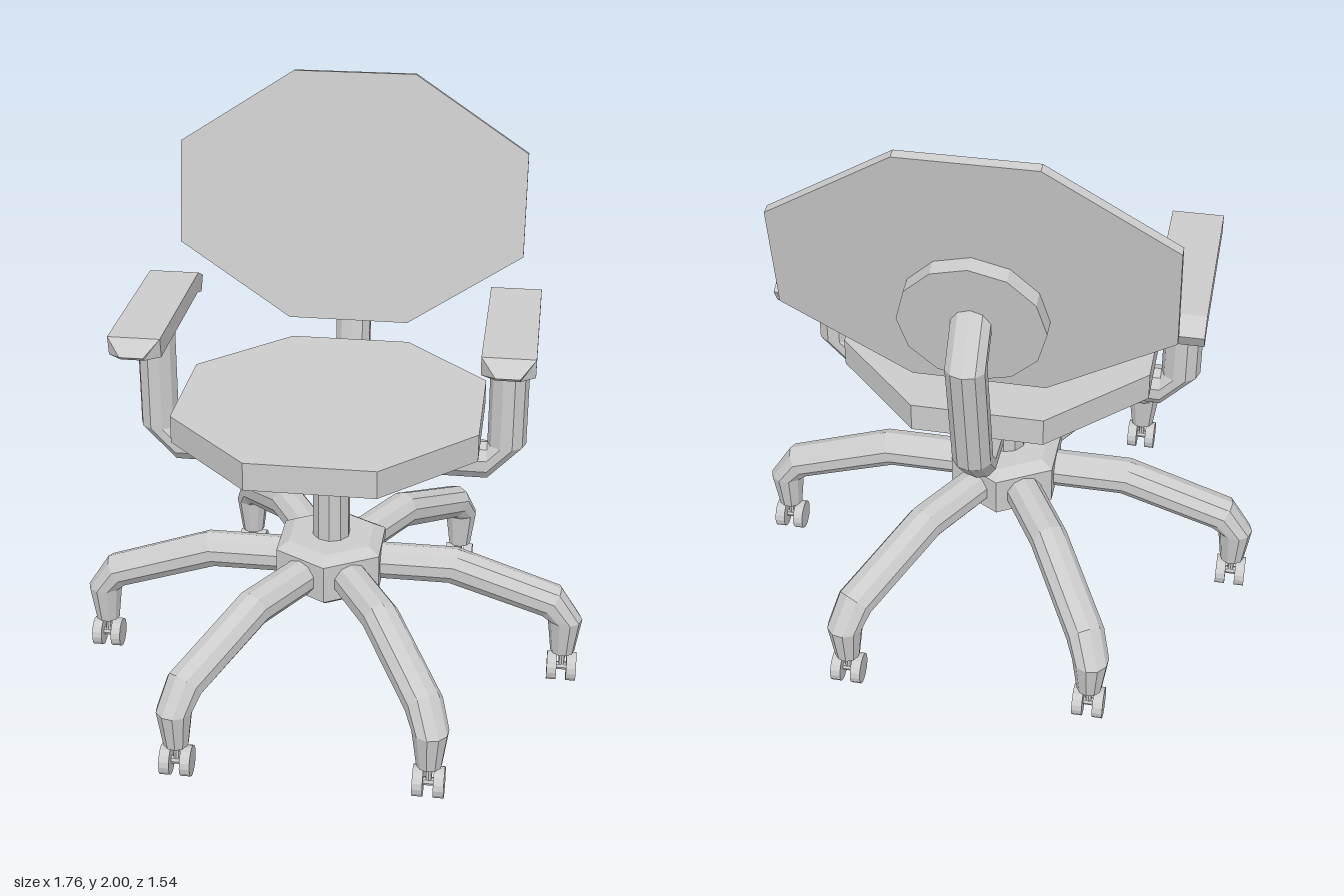
import * as THREE from 'three';

const material = new THREE.MeshStandardMaterial({ color: 0xcccccc, flatShading: true });

function add(parent, name, geometry, x = 0, y = 0, z = 0) {
  const mesh = new THREE.Mesh(geometry, material);
  mesh.name = name;
  mesh.position.set(x, y, z);
  parent.add(mesh);
  return mesh;
}

// Lofts a tube through rings lying across the x-y plane.
// Each ring is [upperX, upperY, lowerX, lowerY, halfWidth]; four sides give a box section.
function loft(rings, sides = 10) {
  const pos = [], index = [];
  const box = sides === 4;
  const k = box ? Math.SQRT2 : 1;
  const phase = box ? Math.PI / 4 : 0;
  for (const [x1, y1, x2, y2, w] of rings) {
    for (let j = 0; j < sides; j++) {
      const a = phase + (j / sides) * Math.PI * 2;
      const c = Math.cos(a) * k, s = Math.sin(a) * k;
      pos.push((x1 + x2) / 2 + ((x1 - x2) / 2) * c, (y1 + y2) / 2 + ((y1 - y2) / 2) * c, w * s);
    }
  }
  for (let i = 0; i < rings.length - 1; i++) {
    for (let j = 0; j < sides; j++) {
      const a = i * sides + j, b = i * sides + ((j + 1) % sides);
      index.push(a, b, a + sides, b, b + sides, a + sides);
    }
  }
  const last = (rings.length - 1) * sides;
  for (let j = 1; j < sides - 1; j++) {
    index.push(0, j + 1, j, last, last + j, last + j + 1);
  }
  const indexed = new THREE.BufferGeometry();
  indexed.setAttribute('position', new THREE.Float32BufferAttribute(pos, 3));
  indexed.setIndex(index);
  const geometry = indexed.toNonIndexed();
  geometry.computeVertexNormals();
  return geometry;
}

// Flat octagonal plate in the x-y plane, centred on its thickness
function octagonPlate(hw, hh, cx, cy, depth) {
  const corners = [[hw, -cy], [hw, cy], [cx, hh], [-cx, hh], [-hw, cy], [-hw, -cy], [-cx, -hh], [cx, -hh]];
  const shape = new THREE.Shape(corners.map(([x, y]) => new THREE.Vector2(x, y)));
  return new THREE.ExtrudeGeometry(shape, { depth, bevelEnabled: false }).translate(0, 0, -depth / 2);
}

export function createModel() {
  const chair = new THREE.Group();
  chair.name = 'officeChair';

  // Hexagonal hub with chamfered rims, and the central column
  const hubProfile = [[0, 0.34], [0.16, 0.34], [0.205, 0.37], [0.205, 0.505], [0.16, 0.53], [0, 0.53]];
  add(chair, 'hub', new THREE.LatheGeometry(hubProfile.map(([x, y]) => new THREE.Vector2(x, y)), 6));
  add(chair, 'column', new THREE.CylinderGeometry(0.065, 0.065, 0.5, 10), 0, 0.705, 0);

  // Six bent legs, each ending in a tapered foot
  const legGeometry = loft([
    [0.1, 0.497, 0.1, 0.37, 0.064],
    [0.44, 0.497, 0.41, 0.37, 0.064],
    [0.805, 0.37, 0.735, 0.265, 0.064],
    [0.882, 0.25, 0.762, 0.25, 0.06],
    [0.862, 0.118, 0.778, 0.118, 0.042],
  ]);
  const wheelGeometry = new THREE.CylinderGeometry(0.051, 0.051, 0.034, 16).rotateZ(Math.PI / 2);
  const axleGeometry = new THREE.CylinderGeometry(0.014, 0.014, 0.06, 8).rotateZ(Math.PI / 2);
  const stemGeometry = new THREE.CylinderGeometry(0.011, 0.011, 0.08, 8);
  for (let i = 0; i < 6; i++) {
    const angle = (i * Math.PI) / 3;
    add(chair, 'leg', legGeometry).rotation.y = angle;

    // Twin-wheel casters, all rolling front to back
    const caster = new THREE.Group();
    caster.name = 'caster';
    caster.position.set(0.82 * Math.cos(angle), 0.052, -0.82 * Math.sin(angle));
    for (const side of [-1, 1]) add(caster, 'wheel', wheelGeometry, side * 0.034);
    add(caster, 'axle', axleGeometry);
    add(caster, 'stem', stemGeometry, 0, 0.035, 0);
    chair.add(caster);
  }

  // Seat
  add(chair, 'seat', octagonPlate(0.505, 0.505, 0.21, 0.21, 0.095).rotateX(-Math.PI / 2), 0, 0.998, 0);

  // Armrest supports and pads
  const supportGeometry = loft([
    [0, 0.918, 0, 0.79, 0.064],
    [0.525, 0.918, 0.53, 0.79, 0.064],
    [0.525, 0.92, 0.654, 0.92, 0.064],
    [0.525, 1.3, 0.654, 1.3, 0.064],
  ]);
  const padGeometry = loft([
    [-0.365, 1.32, -0.335, 1.27, 0.085],
    [-0.295, 1.355, -0.27, 1.29, 0.085],
    [0.295, 1.355, 0.285, 1.29, 0.085],
    [0.34, 1.305, 0.32, 1.29, 0.038],
  ], 4);
  for (const side of [-1, 1]) {
    add(chair, 'armSupport', supportGeometry).rotation.y = side > 0 ? 0 : Math.PI;
    add(chair, 'armrest', padGeometry, side * 0.59).rotation.y = -Math.PI / 2;
  }

  // Bent spine running back from the column and up to the backrest
  add(chair, 'spine', loft([
    [0, 0.918, 0, 0.79, 0.064],
    [0.505, 0.918, 0.515, 0.79, 0.064],
    [0.507, 0.92, 0.636, 0.92, 0.064],
    [0.583, 1.32, 0.71, 1.33, 0.064],
    [0.56, 1.355, 0.58, 1.485, 0.064],
  ])).rotation.y = Math.PI / 2;

  // Tilted backrest with its mounting disc
  const back = new THREE.Group();
  back.name = 'back';
  back.position.set(0, 1.572, -0.524);
  back.rotation.x = -0.173;
  add(back, 'backrest', octagonPlate(0.605, 0.432, 0.21, 0.178, 0.032));
  add(back, 'mountingDisc', new THREE.CylinderGeometry(0.228, 0.228, 0.054, 12).rotateX(Math.PI / 2), 0, -0.143, -0.043);
  chair.add(back);

  return chair;
}
